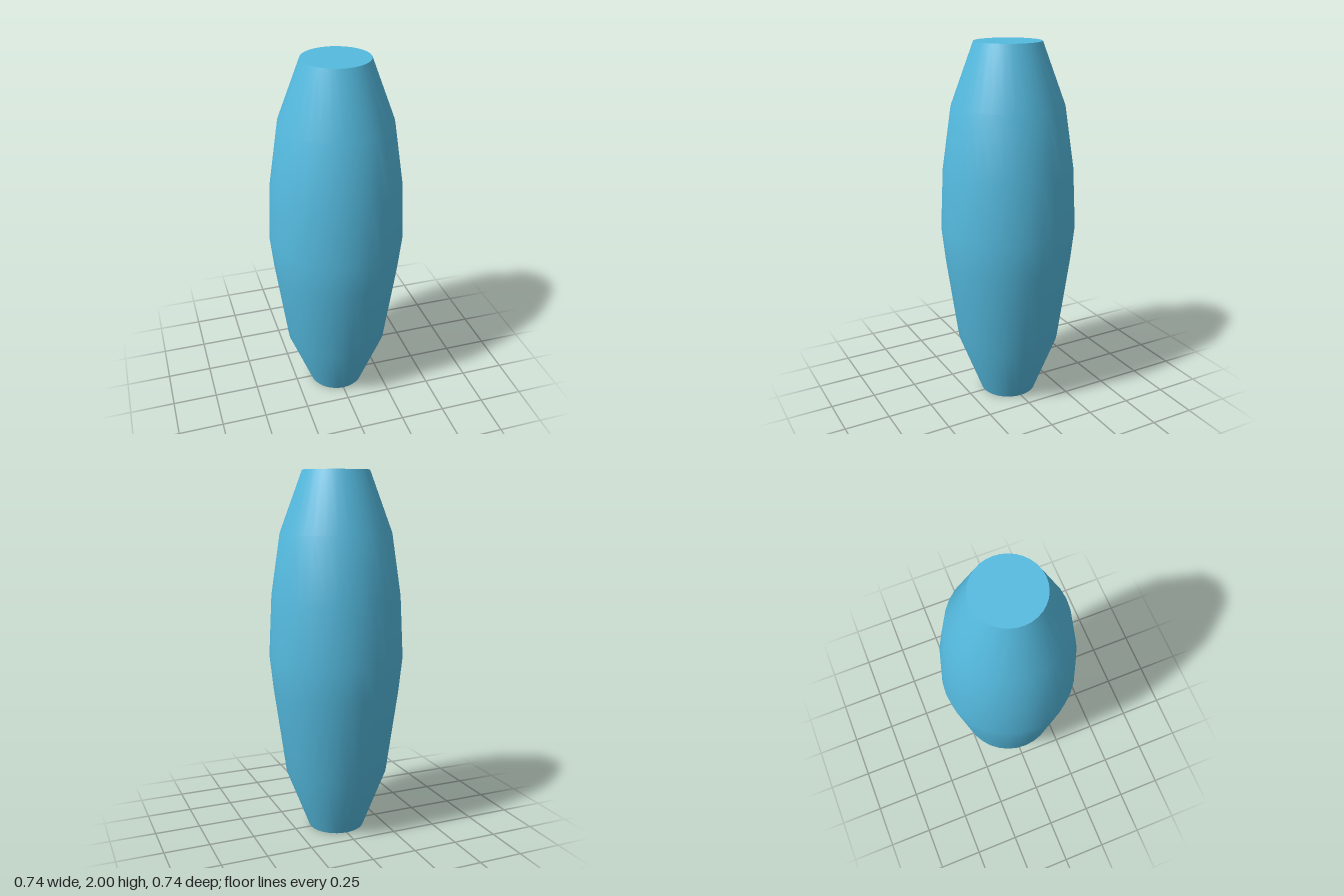
import * as THREE from 'three';

export function createModel() {
  const model = new THREE.Group();
  const material = new THREE.MeshStandardMaterial({ color: 0x55bbe0 });
  const SIDES = 32;
  const START = 0.018;

  // Each part is revolved separately, so edges between parts stay sharp
  const addLathe = (name, profile) => {
    const points = profile.map(([r, y]) => new THREE.Vector2(r, y));
    const mesh = new THREE.Mesh(new THREE.LatheGeometry(points, SIDES, START), material);
    mesh.name = name;
    model.add(mesh);
  };

  // Bulging outer wall, bottom to top
  addLathe('body', [
    [0.156, 0], [0.285, 0.335], [0.35, 0.81], [0.37, 1],
    [0.353, 1.335], [0.303, 1.67], [0.18, 2],
  ]);

  // Flat closed top
  addLathe('topCap', [[0.18, 2], [0, 2]]);

  // Ring-shaped foot with a shallow round recess
  addLathe('bottomRim', [[0.107, 0], [0.156, 0]]);
  addLathe('recessWall', [[0.107, 0.06], [0.107, 0]]);
  addLathe('recessCeiling', [[0, 0.06], [0.107, 0.06]]);

  return model;
}
